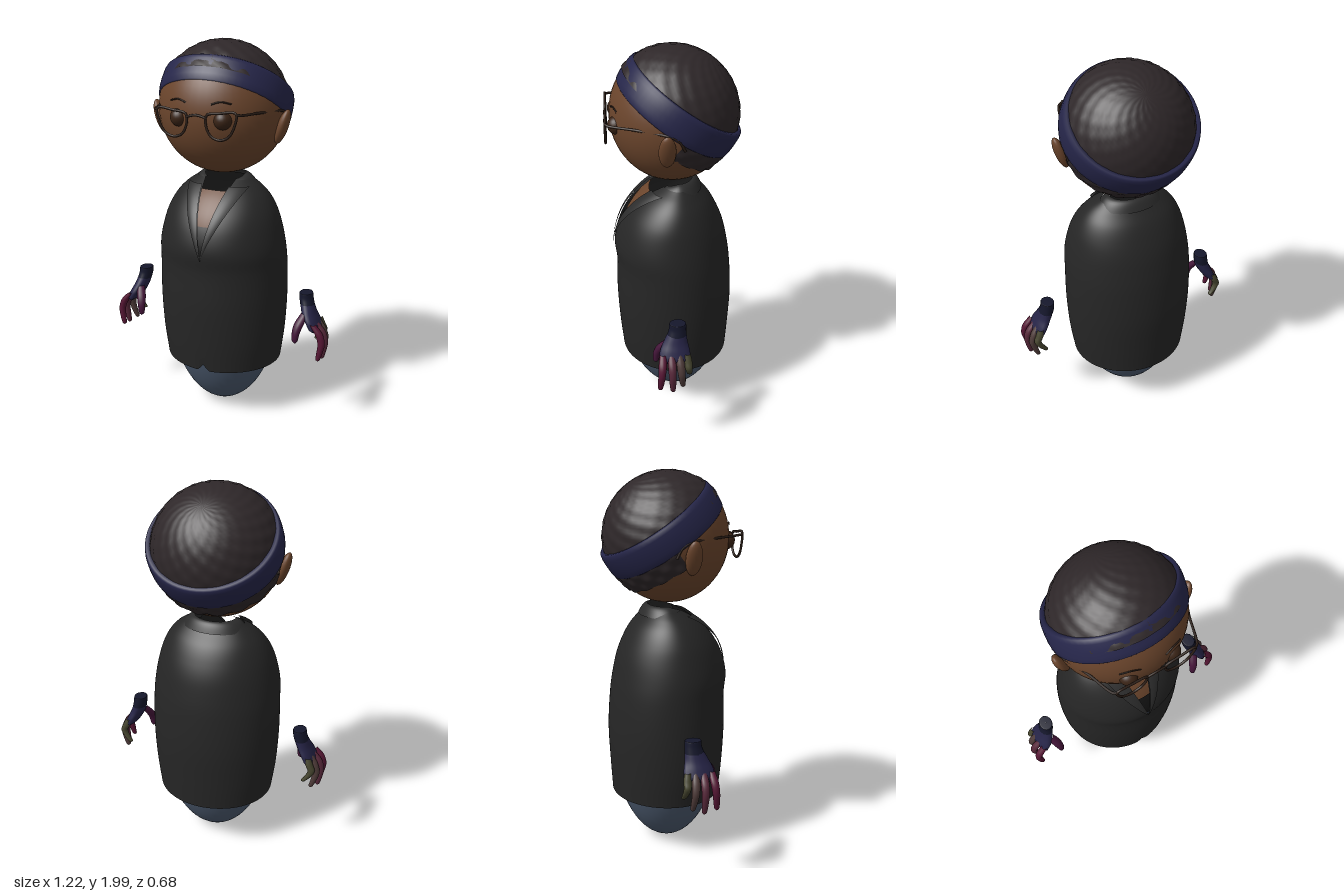
import * as THREE from 'three';
import { mergeVertices } from 'three/addons/utils/BufferGeometryUtils.js';

const V = (x, y, z) => new THREE.Vector3(x, y, z);
const mat = (color, side = THREE.FrontSide) => new THREE.MeshStandardMaterial({ color, side });
const SKIN = mat(0x6b452c), FRAME = mat(0x2a1d16), BAND = mat(0x26264a);
const HAIR = mat(0x2e2729, THREE.DoubleSide), JACKET = mat(0x262626, THREE.DoubleSide);
const LAPEL = mat(0x2b2b2b, THREE.DoubleSide), SHIRT = mat(0x141414), TROUSERS = mat(0x4a586c);

function add(parent, name, geometry, material) {
  const m = new THREE.Mesh(geometry, material);
  m.name = name;
  parent.add(m);
  return m;
}

// Smooth sheet from a rule p(u, v); the face looks along dp/du x dp/dv
function sheet(nu, nv, p) {
  const pos = [], idx = [];
  for (let j = 0; j <= nv; j++)
    for (let i = 0; i <= nu; i++) pos.push(...p(i / nu, j / nv).toArray());
  for (let j = 0; j < nv; j++)
    for (let i = 0; i < nu; i++) {
      const a = j * (nu + 1) + i, b = a + 1, c = a + nu + 1, d = c + 1;
      idx.push(a, b, c, b, d, c);
    }
  let g = new THREE.BufferGeometry();
  g.setAttribute('position', new THREE.Float32BufferAttribute(pos, 3));
  g.setIndex(idx);
  g = mergeVertices(g, 1e-5);
  g.computeVertexNormals();
  return g;
}

// Loft of elliptical rings, listed downward as [x, y, z, rx, rz]
function loft(rings, seg = 14) {
  const mid = new THREE.CatmullRomCurve3(rings.map(r => V(r[0], r[1], r[2])));
  const rad = new THREE.CatmullRomCurve3(rings.map(r => V(r[3], 0, r[4])));
  return sheet(seg, rings.length * 4, (u, v) => {
    const c = mid.getPoint(1 - v), r = rad.getPoint(1 - v), a = u * Math.PI * 2;
    return V(c.x + r.x * Math.sin(a), c.y, c.z + r.z * Math.cos(a));
  });
}

const tube = (pts, r, closed = false) =>
  new THREE.TubeGeometry(new THREE.CatmullRomCurve3(pts.map(p => V(...p)), closed), 40, r, 8, closed);

// Jacket cross-sections: [y, half width, front z, back z]
const ROWS = [
  [0.29, 0.315, 0.275, -0.30], [0.45, 0.336, 0.29, -0.31], [0.65, 0.347, 0.30, -0.318],
  [0.85, 0.345, 0.297, -0.305], [0.95, 0.338, 0.306, -0.29], [1.05, 0.318, 0.283, -0.267],
  [1.13, 0.293, 0.243, -0.235], [1.2, 0.255, 0.185, -0.195], [1.25, 0.21, 0.125, -0.15],
  [1.29, 0.155, 0.06, -0.11]];
const front = new THREE.CatmullRomCurve3(ROWS.map(r => V(r[1], r[0], r[2])));
const back = new THREE.CatmullRomCurve3(ROWS.map(r => V(r[1], r[0], r[3])));
function section(v) {
  const f = front.getPoint(v), b = back.getPoint(v);
  return { y: f.y, rx: f.x, zc: (f.z + b.z) / 2, rz: (f.z - b.z) / 2 };
}
const opening = y => Math.min(1, Math.max(0, (y - 0.92) / 0.38));
const halfGap = y => 0.085 * opening(y) ** 1.3;

function buildTorso(root) {
  const torso = new THREE.Group();
  torso.name = 'torso';
  root.add(torso);

  // Open jacket with a V neck and a notch at the hem
  add(torso, 'jacket', sheet(120, 60, (u, v) => {
    const s = section(v), gap = Math.asin(Math.min(1, halfGap(s.y) / s.rx));
    const a = gap + u * (Math.PI * 2 - 2 * gap);
    const x = s.rx * Math.sin(a), c = Math.cos(a);
    const notch = c > 0 && v < 0.05 ? 0.035 * Math.max(0, 1 - Math.abs(x) / 0.03) * (1 - v / 0.05) : 0;
    return V(x, s.y + notch, s.zc + s.rz * c);
  }), JACKET);

  // Inner chest and undershirt, set just inside the jacket
  const inner = (v0, v1, k) => sheet(48, 16, (u, v) => {
    const s = section(v0 + (v1 - v0) * v), a = u * Math.PI * 2;
    return V(s.rx * k * Math.sin(a), s.y, s.zc + s.rz * k * Math.cos(a));
  });
  add(torso, 'chest', inner(0.5, 0.88, 0.93), SKIN);
  add(torso, 'undershirt', inner(0.35, 0.605, 0.955), SHIRT);

  // Lapels follow the jacket front from the V tip to the collar
  for (const s of [-1, 1]) {
    add(torso, s > 0 ? 'leftLapel' : 'rightLapel', sheet(6, 30, (u, v) => {
      const q = section(0.41 + 0.51 * v), t = opening(q.y);
      const x = Math.min(halfGap(q.y) + 0.105 * t * u, q.rx * 0.93);
      const z = q.zc + q.rz * Math.sqrt(1 - (x / q.rx) ** 2);
      return V(s * x, q.y + 0.008 * t, z + 0.006 + 0.012 * Math.sin(Math.PI * (0.15 + 0.7 * u)) * t);
    }), LAPEL);
  }

  // Folded collar round the back of the neck
  add(torso, 'collar', sheet(48, 8, (u, v) => {
    const a = 0.75 + u * (Math.PI * 2 - 1.5);
    const fold = Math.sin(v * Math.PI * 0.8);
    const r = 0.175 - 0.065 * v, drop = 0.03 * Math.max(0, Math.cos(a));
    return V(r * Math.sin(a), 1.262 + 0.04 * v + 0.02 * fold - drop, -0.025 + r * 0.72 * Math.cos(a));
  }), LAPEL);

  const legs = add(torso, 'trousers', new THREE.SphereGeometry(1, 40, 32), TROUSERS);
  legs.scale.set(0.3, 0.54, 0.285);
  legs.position.set(0, 0.55, -0.008);
}

function buildHead(root) {
  const head = new THREE.Group();
  head.name = 'head';
  root.add(head);
  const skull = add(head, 'face', new THREE.SphereGeometry(1, 48, 36), SKIN);
  skull.scale.set(0.333, 0.335, 0.315);
  skull.position.y = 1.658;

  // Hair and headband share a frame tilted back
  const tilted = new THREE.Group();
  tilted.name = 'hairAndBand';
  tilted.position.y = 1.66;
  tilted.rotation.x = -0.61;
  head.add(tilted);
  const hairPatch = (a0, a1, h0, h1) => sheet(72, 30, (u, v) => {
    const a = a0 + (a1 - a0) * u, e0 = Math.asin(h0), e = e0 + (Math.asin(h1) - e0) * v;
    const r = 0.337 + 0.004 * Math.sin(a * 18) * Math.sin(e * 24) * Math.cos(e);
    return V(r * Math.cos(e) * Math.sin(a), r * Math.sin(e), r * Math.cos(e) * Math.cos(a));
  });
  add(tilted, 'hairCap', hairPatch(0, Math.PI * 2, 0.15, 1), HAIR);
  add(tilted, 'napeHair', hairPatch(1.72, Math.PI * 2 - 1.72, -0.33, 0.1), HAIR);
  const profile = [[0.312, -0.015], [0.334, -0.017], [0.342, -0.01], [0.346, 0.02], [0.346, 0.06],
    [0.343, 0.1], [0.337, 0.121], [0.328, 0.127], [0.305, 0.124], [0.3, 0.05], [0.312, -0.015]];
  const band = add(tilted, 'headband',
    new THREE.LatheGeometry(profile.map(p => new THREE.Vector2(...p)), 64), BAND);
  band.scale.z = 0.97;
  band.position.z = -0.008;

  // Ears, eyes, brows and half of the spectacles on each side
  for (const s of [-1, 1]) {
    const side = s > 0 ? 'left' : 'right';
    const ear = add(head, side + 'Ear', new THREE.SphereGeometry(1, 20, 16), SKIN);
    ear.scale.set(0.028, 0.092, 0.042);
    ear.position.set(s * 0.334, 1.59, 0.045);
    ear.rotation.z = -s * 0.33;
    const eye = add(head, side + 'Eye', new THREE.SphereGeometry(0.046, 24, 18), mat(0x3a2416));
    eye.position.set(s * 0.115, 1.645, 0.277);
    add(head, side + 'Brow', tube([[s * 0.065, 1.722, 0.303], [s * 0.11, 1.735, 0.292],
      [s * 0.16, 1.725, 0.275]], 0.004), FRAME);
    add(head, side + 'Rim', tube([[0.05, 1.63], [0.055, 1.675], [0.12, 1.688], [0.205, 1.693],
      [0.195, 1.625], [0.165, 1.577], [0.12, 1.56], [0.075, 1.577]]
      .map(p => [s * p[0], p[1], 0.332]), 0.0065, true), FRAME);
    add(head, side + 'Temple', tube([[s * 0.205, 1.688, 0.332], [s * 0.222, 1.685, 0.322],
      [s * 0.272, 1.677, 0.18], [s * 0.332, 1.668, 0.04], [s * 0.337, 1.645, -0.01],
      [s * 0.33, 1.59, -0.04]], 0.0065), FRAME);
  }
  add(head, 'bridge', tube([[-0.055, 1.66, 0.332], [0, 1.672, 0.335], [0.055, 1.66, 0.332]], 0.006), FRAME);
}

function buildHand(root, s) {
  const hand = new THREE.Group();
  hand.name = s > 0 ? 'leftHand' : 'rightHand';
  root.add(hand);
  const part = (name, color, rings) =>
    add(hand, name, loft(rings.map(r => [s * r[0], ...r.slice(1)])), mat(color));
  part('wrist', 0x15172c, [[0.472, 0.719, 0.005, 0.001, 0.001], [0.472, 0.718, 0.005, 0.035, 0.042],
    [0.474, 0.69, 0.005, 0.037, 0.044], [0.482, 0.655, 0.01, 0.037, 0.05]]);
  part('palm', 0x262447, [[0.481, 0.66, 0.01, 0.036, 0.049], [0.495, 0.62, 0.018, 0.037, 0.062],
    [0.515, 0.58, 0.022, 0.036, 0.076], [0.533, 0.545, 0.022, 0.032, 0.08], [0.54, 0.52, 0.02, 0.004, 0.05]]);
  // Each finger: colour, base z, tip z, tip y, knuckle x, tip x
  const fingers = [[0x561634, 0.083, 0.1, 0.38, 0.588, 0.575], [0x57283a, 0.04, 0.035, 0.366, 0.59, 0.578],
    [0x4d3a38, 0, -0.018, 0.378, 0.578, 0.555], [0x46452f, -0.038, -0.054, 0.43, 0.56, 0.52]];
  fingers.forEach(([color, z0, z1, y1, xk, x1], i) => {
    const at = (x, t, r) => [x, 0.575 + (y1 - 0.575) * t, z0 + (z1 - z0) * t, r, r];
    part('finger' + (i + 1), color, [at(0.535, 0, 0.016), at(xk - 0.015, 0.25, 0.021), at(xk, 0.5, 0.019),
      at((xk + x1) / 2, 0.78, 0.016), at(x1, 0.95, 0.012), at(x1, 1, 0.001)]);
  });
  part('thumb', 0x45163a, [[0.485, 0.62, 0.055, 0.02, 0.02], [0.465, 0.57, 0.09, 0.025, 0.024],
    [0.455, 0.525, 0.11, 0.021, 0.02], [0.452, 0.48, 0.115, 0.015, 0.015], [0.453, 0.465, 0.115, 0.001, 0.001]]);
}

export function createModel() {
  const root = new THREE.Group();
  root.name = 'figure';
  buildTorso(root);
  buildHead(root);
  for (const s of [-1, 1]) buildHand(root, s);
  return root;
}
